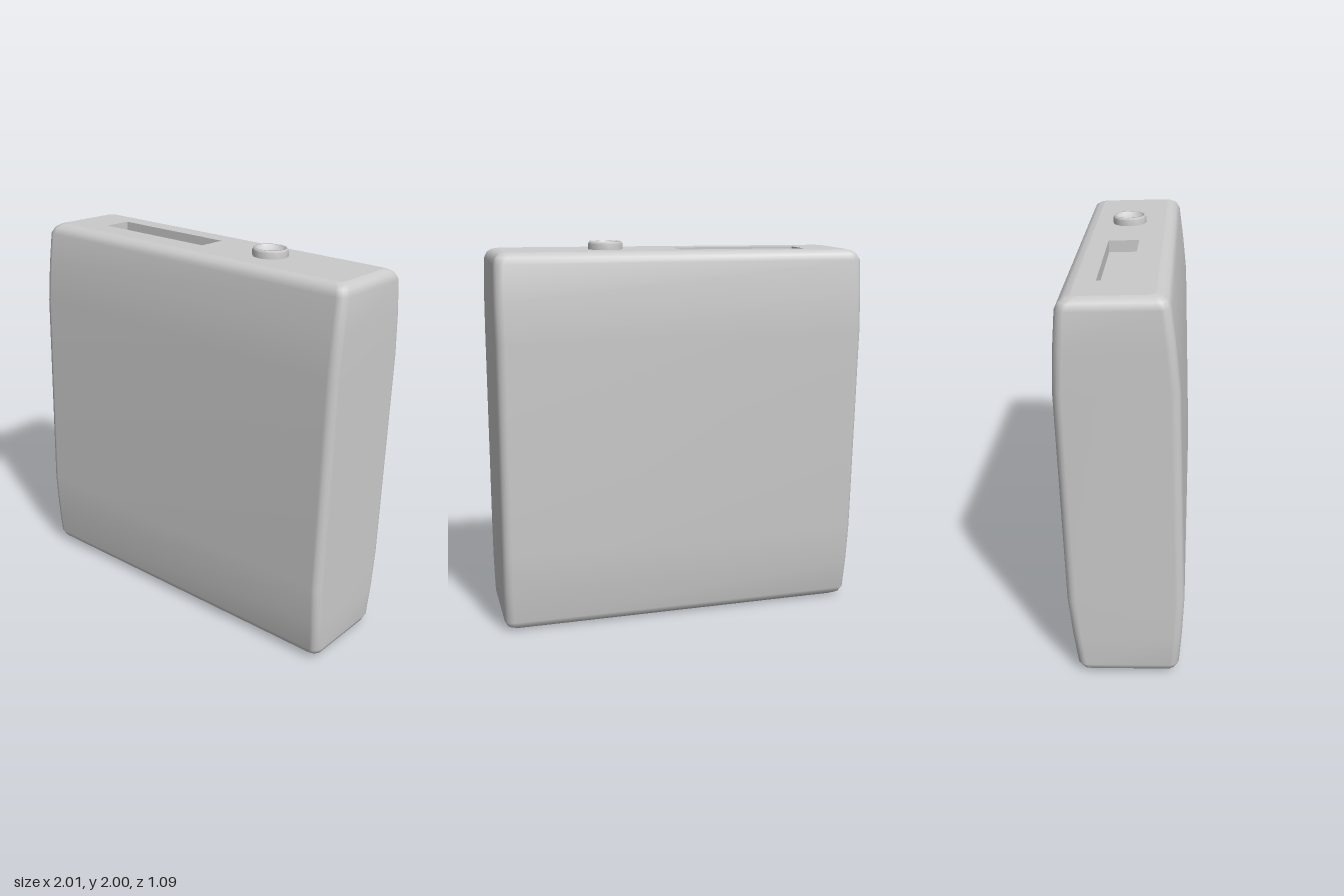
import * as THREE from 'three';

const material = new THREE.MeshStandardMaterial({ color: 0xcccccc });

// Rounded rectangle in plan: half width, half depth, corner radius
function planLoop(w, d, r, steps = 4) {
  const points = [];
  [[1, 1], [-1, 1], [-1, -1], [1, -1]].forEach(([sx, sz], corner) => {
    for (let i = 0; i <= steps; i++) {
      const a = (corner + i / steps) * Math.PI / 2;
      points.push(new THREE.Vector2(sx * (w - r) + r * Math.cos(a), sz * (d - r) + r * Math.sin(a)));
    }
  });
  return points;
}

// Skin through the stacked plan loops
function loft(levels) {
  const positions = [], index = [];
  const loops = levels.map(([, w, d, r]) => planLoop(w, d, r));
  const n = loops[0].length;
  loops.forEach((loop, k) => loop.forEach(p => positions.push(p.x, levels[k][0], p.y)));
  for (let k = 0; k < loops.length - 1; k++) {
    for (let i = 0; i < n; i++) {
      const a = k * n + i, b = k * n + (i + 1) % n;
      index.push(a, a + n, b, b, a + n, b + n);
    }
  }
  const geometry = new THREE.BufferGeometry();
  geometry.setAttribute('position', new THREE.Float32BufferAttribute(positions, 3));
  geometry.setIndex(index);
  geometry.computeVertexNormals();
  return geometry;
}

export function createModel() {
  const model = new THREE.Group();
  model.name = 'slimCase';
  const add = (name, geometry, mat = material) => {
    const mesh = new THREE.Mesh(geometry, mat);
    mesh.name = name;
    model.add(mesh);
    return mesh;
  };

  // Half the levels: height, half width, half depth, corner radius
  const top = 0.978;
  const half = [
    [0.55, 0.968, 0.285, 0.045],
    [0.75, 0.968, 0.27, 0.045],
    [0.925, 0.964, 0.252, 0.045],
    [0.957, 0.95, 0.236, 0.045],
    [0.972, 0.93, 0.212, 0.045],
    [top, 0.905, 0.185, 0.04],
  ];
  const mirrored = half.map(([y, ...rest]) => [-y, ...rest]).reverse();
  add('caseSides', loft([...mirrored, ...half]));

  // Top with the slot opening, and plain bottom
  const outline = planLoop(0.905, 0.185, 0.04);
  const slot = { x0: -0.69, x1: -0.01, z0: -0.09, z1: 0.065, depth: 0.06 };
  const topShape = new THREE.Shape(outline);
  topShape.holes.push(new THREE.Path([
    new THREE.Vector2(slot.x0, -slot.z0), new THREE.Vector2(slot.x1, -slot.z0),
    new THREE.Vector2(slot.x1, -slot.z1), new THREE.Vector2(slot.x0, -slot.z1),
  ]));
  add('caseTop', new THREE.ShapeGeometry(topShape).rotateX(-Math.PI / 2).translate(0, top, 0));
  add('caseBottom', new THREE.ShapeGeometry(new THREE.Shape(outline)).rotateX(Math.PI / 2).translate(0, -top, 0));

  // Recessed slot: an open box seen from inside
  const recess = new THREE.BoxGeometry(slot.x1 - slot.x0, slot.depth, slot.z1 - slot.z0);
  recess.setIndex(Array.from(recess.index.array).filter((_, i) => i < 12 || i >= 18));
  recess.clearGroups();
  recess.translate((slot.x0 + slot.x1) / 2, top - slot.depth / 2, (slot.z0 + slot.z1) / 2);
  add('slotRecess', recess, new THREE.MeshStandardMaterial({ color: 0xcccccc, side: THREE.BackSide }));

  // Raised round button with a dished centre
  const profile = [[0.09, -0.01], [0.09, 0.028], [0.084, 0.04], [0.074, 0.04], [0.07, 0.022], [0.04, 0.01], [0, 0.006]];
  const button = add('button', new THREE.LatheGeometry(profile.map(p => new THREE.Vector2(...p)), 12),
    new THREE.MeshStandardMaterial({ color: 0xcccccc, side: THREE.DoubleSide }));
  button.position.set(0.368, top, -0.005);

  // The case stands turned and leans slightly back
  model.rotation.set(-0.035, -0.274, 0, 'YXZ');
  model.position.y = 0.985;
  const root = new THREE.Group();
  root.add(model);
  return root;
}
